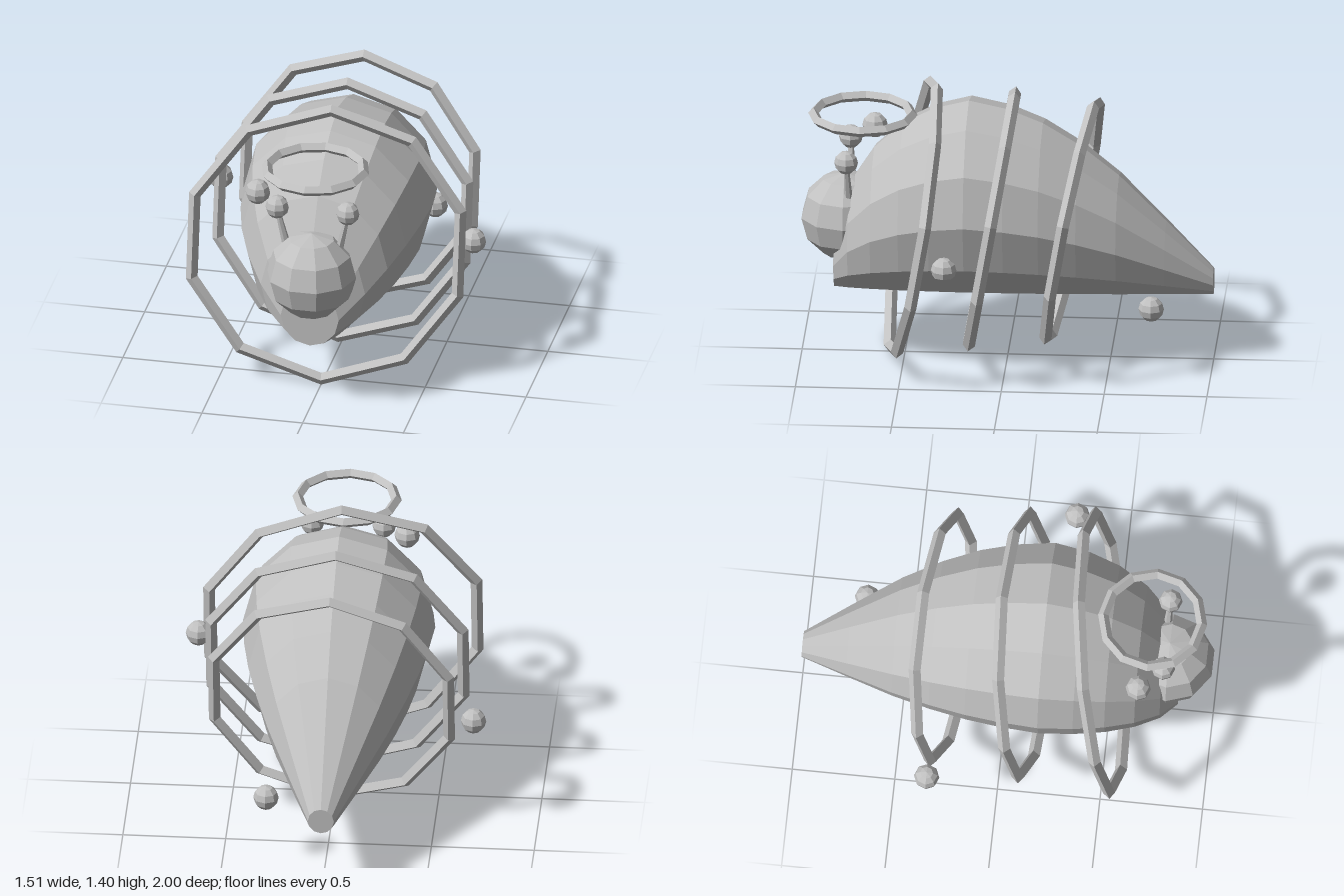
import * as THREE from 'three';

export function createModel() {
  const model = new THREE.Group();
  const grey = new THREE.MeshStandardMaterial({ color: 0xc0c0c0, flatShading: true });
  grey.name = 'plain grey';

  const add = (name, geometry, x = 0, y = 0, z = 0) => {
    const mesh = new THREE.Mesh(geometry, grey);
    mesh.name = name;
    mesh.position.set(x, y, z);
    model.add(mesh);
    return mesh;
  };

  // Body: twelve-sided sections [z, radius], all resting on the same flat belly line
  const sections = [
    [0.84, 0.15], [0.765, 0.27], [0.65, 0.36], [0.51, 0.425], [0.36, 0.465], [0.19, 0.487],
    [0.0, 0.467], [-0.17, 0.433], [-0.35, 0.378], [-0.54, 0.302], [-0.77, 0.186], [-1, 0.066],
  ];
  const rows = sections.length - 1;
  const body = new THREE.CylinderGeometry(1, 1, 1, 12, rows).rotateX(Math.PI / 2);
  const p = body.attributes.position;
  for (let i = 0; i < p.count; i++) {
    const [z, r] = sections[Math.round((0.5 - p.getZ(i)) * rows)];
    p.setXYZ(i, p.getX(i) * r * 0.96, 0.345 + r + p.getY(i) * r, z);
  }
  body.computeVertexNormals();
  add('body', body);

  // Head
  add('head', new THREE.SphereGeometry(0.22, 10, 6), 0, 0.71, 0.79);

  // Eyes on tapered stalks
  for (const side of [-1, 1]) {
    const name = side > 0 ? 'left' : 'right';
    const top = new THREE.Vector3(side * 0.175, 1.04, 0.775);
    const base = new THREE.Vector3(side * 0.125, 0.82, 0.765);
    const dir = top.clone().sub(base);
    const mid = top.clone().add(base).multiplyScalar(0.5);
    const stalk = add(name + 'EyeStalk',
      new THREE.CylinderGeometry(0.012, 0.022, dir.length(), 6), mid.x, mid.y, mid.z);
    stalk.quaternion.setFromUnitVectors(new THREE.Vector3(0, 1, 0), dir.normalize());
    add(name + 'Eye', new THREE.SphereGeometry(0.058, 8, 6), side * 0.175, 1.05, 0.775);
  }

  // Halo above the head
  add('halo', new THREE.TorusGeometry(0.24, 0.026, 4, 12).rotateX(Math.PI / 2), 0, 1.236, 0.705);

  // Tilted ten-sided hoops around the body: [outer radius, z, yaw]
  [[0.712, 0.46, 0.1], [0.673, 0.078, 0], [0.634, -0.312, -0.07]].forEach(([r, z, yaw], i) => {
    const hoop = add('hoop' + (i + 1),
      new THREE.TorusGeometry(r - 0.03, 0.03, 4, 10).rotateZ(Math.PI / 2), 0, 0.705, z);
    hoop.rotation.set(-0.169, yaw, 0);
  });

  // Small floating orbs
  [[-0.295, 1.065, 0.665], [0.69, 0.705, 0.267], [-0.692, 0.615, -0.325], [0.288, 0.37, -0.715]]
    .forEach(([x, y, z], i) => add('orb' + (i + 1), new THREE.SphereGeometry(0.062, 8, 6), x, y, z));

  return model;
}
